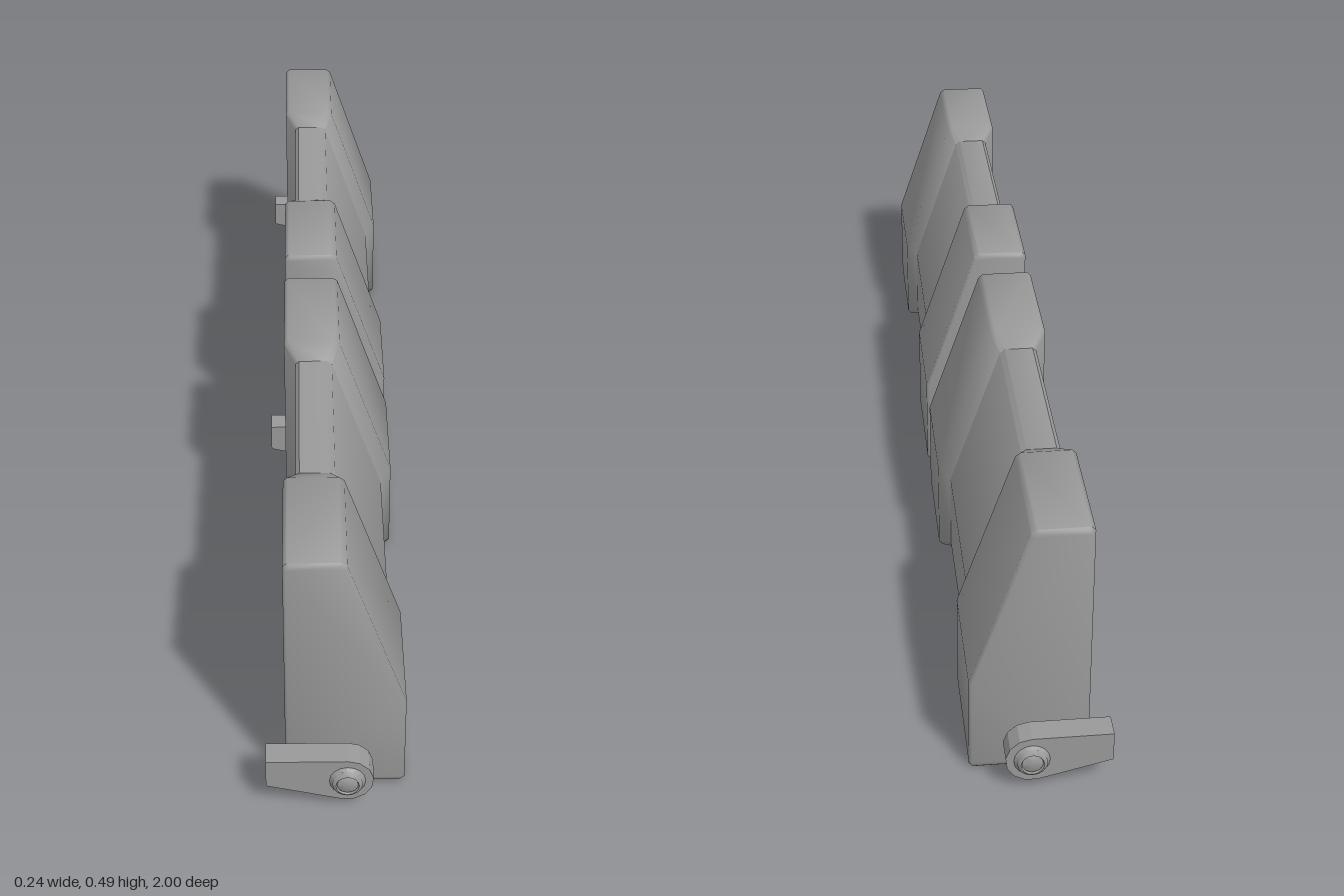
import * as THREE from 'three';
import { toCreasedNormals } from 'three/addons/utils/BufferGeometryUtils.js';

const grey = new THREE.MeshStandardMaterial({ color: 0x999999 });

// Panel outline, counterclockwise with chamfered corners, shrunk inward by d
function section(d) {
  const l = -0.087 + d, r = 0.12 - d, b = d, t = 0.491 - d, c = 0.007;
  const topX = 0.016 - 0.716 * d, kneeY = 0.186 - 0.167 * d;
  return [
    [l + c, b], [r - c, b], [r, b + c], [r, kneeY],
    [topX + 0.002, t - c], [topX - c, t], [l + c, t], [l, t - c], [l, b + c],
  ];
}

// Even rows of triangles across the outline
const CAP = [0, 1, 2, 0, 2, 8, 8, 2, 3, 8, 3, 7, 7, 3, 4, 7, 4, 5, 7, 5, 6];

// Loft through [z, inset] stations of rising z; the last end may be closed
function loft(stations, closed, crease) {
  const pos = [], idx = [], n = section(0).length;
  for (const [z, d] of stations) for (const [x, y] of section(d)) pos.push(x, y, z);
  for (let i = 0; i < stations.length - 1; i++) {
    for (let j = 0; j < n; j++) {
      const a = i * n + j, b = i * n + (j + 1) % n;
      idx.push(a, b, b + n, a, b + n, a + n);
    }
  }
  if (closed) idx.push(...CAP.map(k => (stations.length - 1) * n + k));
  const g = new THREE.BufferGeometry();
  g.setAttribute('position', new THREE.Float32BufferAttribute(pos, 3));
  g.setIndex(idx);
  return toCreasedNormals(g, crease);
}

// Copy of a geometry reflected in z, with the corner order turned back
function mirrorZ(geometry) {
  const g = geometry.clone();
  g.scale(1, 1, -1);
  const order = [];
  for (let i = 0; i < g.attributes.position.count; i += 3) order.push(i, i + 2, i + 1);
  g.setIndex(order);
  return g;
}

function addMesh(parent, name, geometry) {
  const m = new THREE.Mesh(geometry, grey);
  m.name = name;
  parent.add(m);
}

// Slim middle between two full-size end blocks
function createPanel(name, z) {
  const panel = new THREE.Group();
  panel.name = name;
  const slim = 0.021, inner = 0.173;
  addMesh(panel, 'panelMiddle', loft([[-inner, slim], [inner, slim]], false, 0.7));
  const block = loft([[inner, slim], [0.213, 0], [0.439, 0], [0.444, 0.005]], true, 0.9);
  addMesh(panel, 'frontEndBlock', block);
  addMesh(panel, 'backEndBlock', mirrorZ(block));
  panel.position.z = z;
  return panel;
}

// Teardrop arm with a pin running through its round end
function createHinge(z, h) {
  const hinge = new THREE.Group();
  hinge.name = 'hinge';
  const px = 0.019, py = 0.064, r = 0.045, depth = 0.044;
  const pts = [new THREE.Vector2(-0.12, 0.053)];
  for (let i = 0; i <= 7; i++) {
    const a = -1.82 + (i / 7) * (Math.PI / 2 + 1.82);
    pts.push(new THREE.Vector2(px + r * Math.cos(a), py + r * Math.sin(a)));
  }
  pts.push(new THREE.Vector2(-0.12, 0.109));
  const arm = new THREE.ExtrudeGeometry(new THREE.Shape(pts), { depth, bevelEnabled: false });
  arm.translate(0, 0, -depth / 2);
  addMesh(hinge, 'hingeArm', arm);

  // Pin with a collar on both sides and a chamfered ring at each tip
  const half = [[0, h - 0.001], [0.016, h - 0.001], [0.018, h - 0.003],
    [0.02, h], [0.022, h], [0.026, h - 0.004], [0.026, 0.027], [0.031, 0.023]];
  const profile = half.map(([x, y]) => new THREE.Vector2(x, -y))
    .concat(half.slice().reverse().map(([x, y]) => new THREE.Vector2(x, y)));
  const pin = new THREE.LatheGeometry(profile, 16);
  pin.rotateX(Math.PI / 2);
  pin.translate(px, py, 0);
  addMesh(hinge, 'hingePin', toCreasedNormals(pin, 0.9));
  hinge.position.z = z;
  return hinge;
}

export function createModel() {
  const model = new THREE.Group();
  model.name = 'hingedPanels';
  model.add(createPanel('frontPanel', 0.484), createPanel('backPanel', -0.484));
  model.add(createHinge(0.965, 0.035), createHinge(0, 0.044), createHinge(-0.965, 0.035));
  return model;
}
